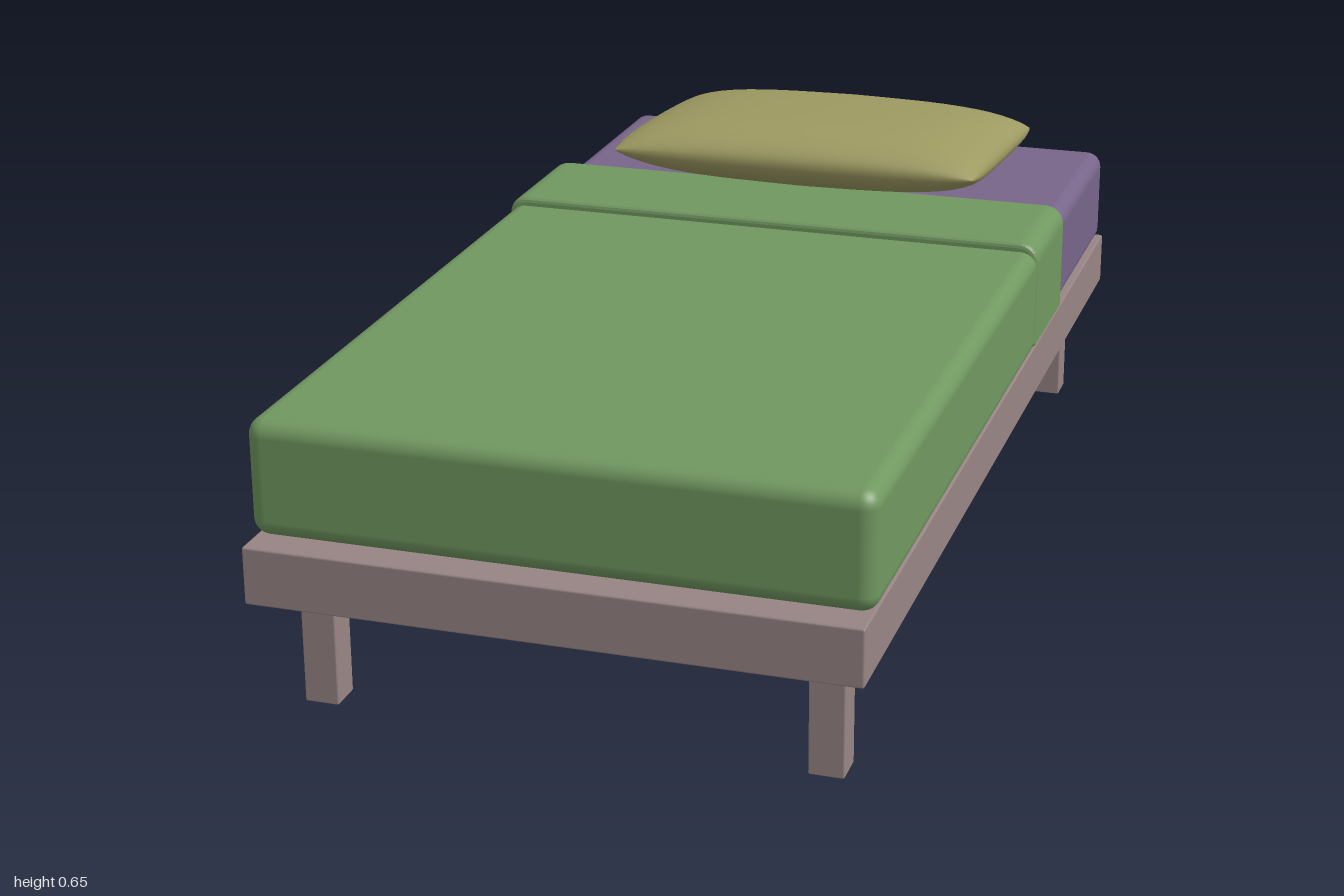
import * as THREE from 'three';
import { RoundedBoxGeometry } from 'three/addons/geometries/RoundedBoxGeometry.js';
import { mergeGeometries, mergeVertices } from 'three/addons/utils/BufferGeometryUtils.js';

const material = (color) => new THREE.MeshStandardMaterial({ color });

// Soft-edged box given by its lower and upper corners
function softBox(name, min, max, radius, segments, mat) {
  const size = max.map((v, i) => v - min[i]);
  const mesh = new THREE.Mesh(new RoundedBoxGeometry(...size, segments, radius), mat);
  mesh.position.set(...max.map((v, i) => (v + min[i]) / 2));
  mesh.name = name;
  return mesh;
}

// Two domed sheets joined along the seam
function pillowGeometry(halfX, halfZ, halfY) {
  const sheets = [1, -1].map((side) => {
    const g = new THREE.PlaneGeometry(2, 2, 28, 28).rotateX(-side * Math.PI / 2);
    const p = g.attributes.position;
    for (let i = 0; i < p.count; i++) {
      const u = Math.sin(p.getX(i) * Math.PI / 2);
      const v = Math.sin(p.getZ(i) * Math.PI / 2);
      const dome = Math.sqrt(Math.max(0, (1 - u ** 4) * (1 - v ** 4)));
      const crown = 1 - 0.08 * Math.abs(u) - 0.06 * Math.abs(v);
      p.setXYZ(i,
        halfX * u * (1 - 0.02 * v ** 8),
        side * halfY * dome * crown,
        halfZ * v * (1 - 0.02 * u ** 8));
    }
    g.deleteAttribute('uv');
    g.deleteAttribute('normal');
    return g;
  });
  const g = mergeVertices(mergeGeometries(sheets), 1e-5);
  g.computeVertexNormals();
  return g;
}

export function createModel() {
  const bed = new THREE.Group();
  bed.name = 'bed';
  const wood = material(0x988585);
  const purple = material(0x78658a);
  const green = material(0x719860);
  const olive = material(0x9e9a62);

  // Base and four legs
  bed.add(softBox('frame', [-0.516, 0.211, -1], [0.516, 0.312, 1], 0.004, 1, wood));
  for (const sx of [-1, 1]) {
    for (const sz of [-1, 1]) {
      const leg = softBox('leg', [-0.03, 0, -0.03], [0.03, 0.211, 0.03], 0.003, 1, wood);
      leg.position.x = sx * 0.433;
      leg.position.z = sz * 0.877;
      bed.add(leg);
    }
  }

  // Mattress and blanket
  bed.add(softBox('mattress', [-0.512, 0.311, -0.984], [0.512, 0.502, 0.94], 0.03, 4, purple));
  bed.add(softBox('blanket', [-0.522, 0.311, -0.45], [0.522, 0.515, 0.958], 0.03, 4, green));

  // Turned-down band of the blanket: rounded section run along z
  const bevel = 0.01, w = 0.525 - bevel, y0 = 0.312 + bevel, y1 = 0.532 - bevel, r = 0.03;
  const section = new THREE.Shape();
  section.moveTo(-w + 0.015, y0);
  section.lineTo(w - 0.015, y0);
  section.lineTo(w, y0 + 0.015);
  section.lineTo(w, y1 - r);
  section.quadraticCurveTo(w, y1, w - r, y1);
  section.lineTo(-w + r, y1);
  section.quadraticCurveTo(-w, y1, -w, y1 - r);
  section.lineTo(-w, y0 + 0.015);
  section.closePath();
  const fold = new THREE.Mesh(new THREE.ExtrudeGeometry(section, {
    depth: 0.255 - 2 * bevel, bevelSize: bevel, bevelThickness: bevel, bevelSegments: 3, curveSegments: 8,
  }), green);
  fold.position.z = -0.487 + bevel;
  fold.name = 'blanketFold';
  bed.add(fold);

  // Pillow resting on the mattress, propped up by the fold
  const pillow = new THREE.Mesh(pillowGeometry(0.369, 0.285, 0.068), olive);
  pillow.position.set(0, 0.571, -0.669);
  pillow.rotation.x = -0.085;
  pillow.name = 'pillow';
  bed.add(pillow);

  return bed;
}
